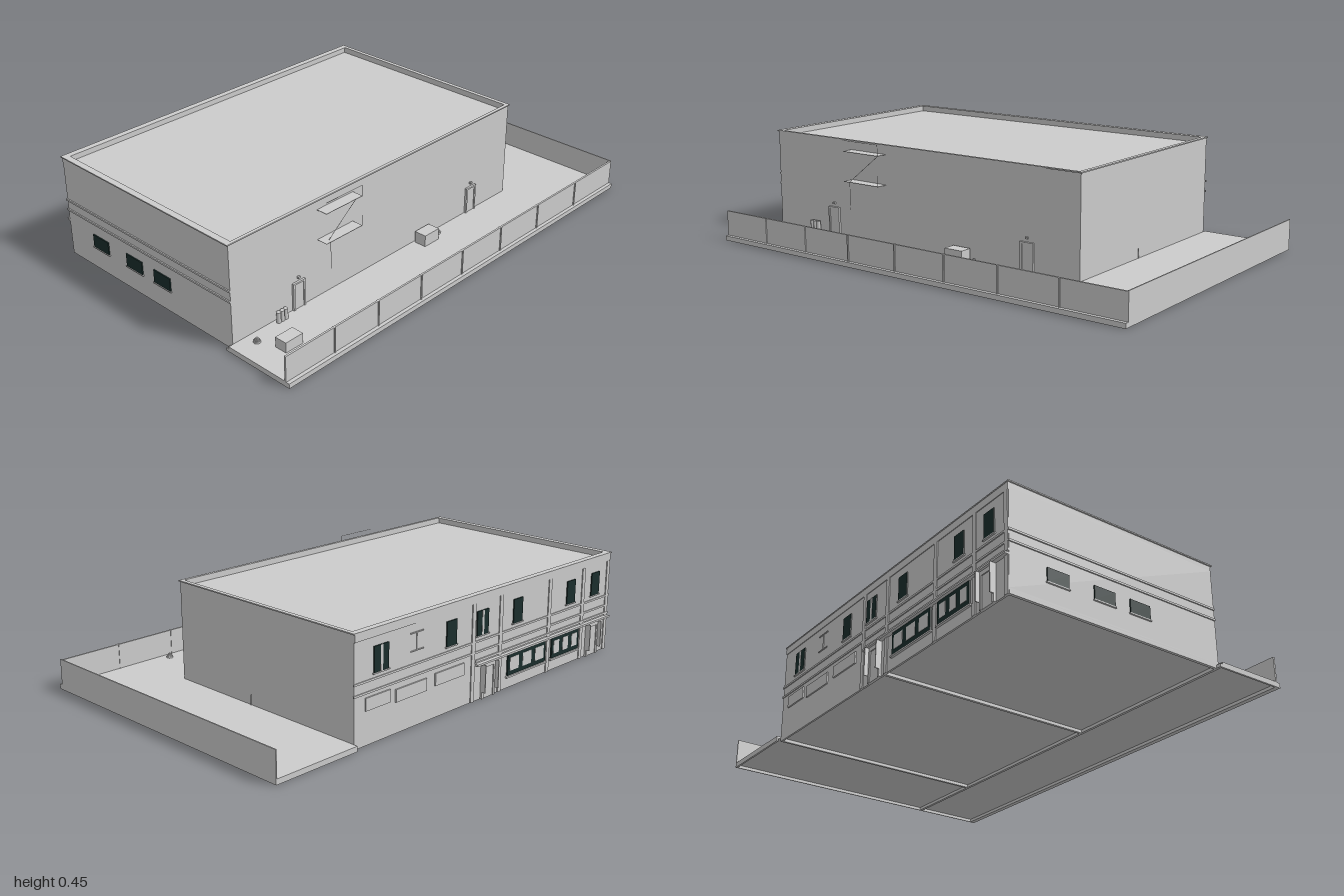
import * as THREE from 'three';

export function createModel() {
  const model = new THREE.Group();
  model.name = 'building';
  const mat = (name, color) => {
    const m = new THREE.MeshStandardMaterial({ color });
    m.name = name;
    return m;
  };
  const grey = mat('plaster grey', 0xcccccc);
  const dark = mat('dark glass', 0x1a2e2c);

  // Box given by its extents on each axis
  function box(name, x0, x1, y0, y1, z0, z1, material = grey, parent = model) {
    const m = new THREE.Mesh(new THREE.BoxGeometry(x1 - x0, y1 - y0, z1 - z0), material);
    m.position.set((x0 + x1) / 2, (y0 + y1) / 2, (z0 + z1) / 2);
    m.name = name;
    parent.add(m);
  }
  // Thin round bar between two points
  function bar(name, a, b, r = 0.0015, parent = model) {
    const curve = new THREE.LineCurve3(new THREE.Vector3(...a), new THREE.Vector3(...b));
    const m = new THREE.Mesh(new THREE.TubeGeometry(curve, 1, r, 5), grey);
    m.name = name;
    parent.add(m);
  }
  // Flat ring between an outer and an inner rectangle [x0, x1, z0, z1]
  function ring(name, outer, inner, y0, y1) {
    const rect = (C, [a, b, c, d]) => {
      const p = new C();
      p.moveTo(a, -c); p.lineTo(a, -d); p.lineTo(b, -d); p.lineTo(b, -c); p.closePath();
      return p;
    };
    const s = rect(THREE.Shape, outer);
    s.holes.push(rect(THREE.Path, inner));
    const g = new THREE.ExtrudeGeometry(s, { depth: y1 - y0, bevelEnabled: false });
    g.rotateX(-Math.PI / 2);
    const m = new THREE.Mesh(g, grey);
    m.position.y = y0;
    m.name = name;
    model.add(m);
  }

  // Main block, parapet and coping
  const L = -0.98, R = 0.61, B = -0.628, F = 0.343, G = 0.022;
  box('mainBlock', L, R, G, 0.415, B, F);
  ring('parapet', [L, R, B, F], [-0.963, 0.597, -0.61, 0.333], 0.415, 0.435);
  ring('coping', [L - 0.006, R + 0.005, B - 0.005, F + 0.004], [-0.959, 0.597, -0.606, 0.333], 0.435, 0.44);

  // Floor raised on footings that reach the ground
  box('frontYard', -1, 1, 0.013, G, F, 0.64);
  box('sideYard', R, 1, 0.013, G, -0.645, F);
  box('buildingFloor', L, R, 0.013, G, B, F);
  box('frontFooting', -1, 1, 0, 0.013, F - 0.012, F);
  box('backFooting', L, R, 0, 0.013, B, B + 0.008);
  box('sideYardFooting', R, 1, 0, 0.013, -0.645, -0.637);
  for (const x of [L, -0.212, R - 0.012])
    box('crossFooting', x, x + 0.012, 0, 0.013, B + 0.008, F - 0.012);
  box('yardEndFooting', -1, -0.992, 0, 0.013, F, 0.632);

  // Front fence with joints, curb and side wall
  box('frontFence', -1, 1, 0, 0.127, 0.632, 0.64);
  for (const x of [-0.76, -0.53, -0.29, -0.045, 0.2, 0.45, 0.72])
    box('fenceJoint', x - 0.003, x + 0.003, 0.02, 0.127, 0.63, 0.644);
  box('curb', -1, 1, 0, 0.02, 0.64, 0.655);
  box('sideWall', 0.995, 1, 0, 0.13, -0.645, 0.64);

  // Yard doors with lamps
  for (const x of [-0.65, 0.37]) {
    box('yardDoor', x - 0.023, x + 0.023, G, 0.132, F, F + 0.005);
    for (const s of [-1, 1])
      box('yardDoorJamb', x + s * 0.027 - 0.004, x + s * 0.027 + 0.004, G, 0.132, F, F + 0.009);
    box('yardDoorHead', x - 0.031, x + 0.031, 0.132, 0.139, F, F + 0.009);
    box('yardLamp', x - 0.005, x + 0.005, 0.152, 0.16, F, F + 0.009);
  }

  // Yard boxes, tanks, pots and drain
  box('frontCabinet', 0.01, 0.095, G, 0.072, 0.35, 0.405);
  box('cornerCabinet', -0.885, -0.8, G, 0.065, 0.465, 0.52);
  box('sideCabinet', 0.93, 0.975, G, 0.074, -0.24, -0.205);
  function can(name, x, z, r, h) {
    const m = new THREE.Mesh(new THREE.CylinderGeometry(r, r, h, 16), grey);
    m.position.set(x, G + h / 2, z);
    m.name = name;
    model.add(m);
  }
  for (let i = 0; i < 3; i++) can('tank', -0.77 + i * 0.018, 0.362, 0.009, 0.045);
  for (const [x, z] of [[-0.91, 0.395], [0.13, 0.37], [-0.26, 0.6], [0.49, 0.595]])
    for (let i = 0; i < 5; i++) can('potRim', x, z, 0.014 - i * 0.0025, 0.008 + i * 0.003);
  can('drain', 0.18, 0.55, 0.007, 0.003);
  bar('sidePipe', [R + 0.003, G, -0.075], [R + 0.003, 0.065, -0.075], 0.002);

  // Fire escape: two landings with rails, stair and drop ladder
  const escape = new THREE.Group();
  escape.name = 'fireEscape';
  model.add(escape);
  const x0 = -0.545, x1 = -0.353, zf = 0.392;
  for (const y of [0.27, 0.398]) {
    box('landing', x0, x1, y - 0.001, y + 0.001, F, zf, grey, escape);
    bar('railPost', [x1, y, zf], [x1, y + 0.047, zf], 0.001, escape);
  }
  bar('topRail', [x0, 0.445, zf], [x1, 0.445, zf], 0.001, escape);
  bar('stair', [-0.52, 0.272, 0.378], [-0.36, 0.398, 0.378], 0.001, escape);
  bar('dropLadder', [-0.517, 0.15, 0.386], [-0.517, 0.27, 0.386], 0.001, escape);

  // String courses along the back and left side
  for (const y of [0.203, 0.247]) {
    box('backCourse', L - 0.005, R + 0.005, y - 0.004, y + 0.004, B - 0.004, B);
    box('sideCourse', L - 0.005, L, y - 0.004, y + 0.004, B, F);
  }
  box('backFrieze', L, R, 0.405, 0.435, B - 0.003, B);

  // Street pilasters, course and shop fascia
  for (const x of [-0.968, -0.785, -0.545, -0.22, -0.05])
    box('pilaster', x - 0.01, x + 0.01, 0, 0.405, B - 0.004, B);
  box('shopCourse', L, -0.065, 0.163, 0.172, B - 0.006, B);
  box('shopFascia', L, -0.065, 0.148, 0.156, B - 0.017, B);

  // Upper back windows; the wide ones have a centre post
  for (const [x, w] of [[0.473, 0.076], [0.084, 0.058], [-0.103, 0.07], [-0.328, 0.058],
    [-0.694, 0.058], [-0.873, 0.058]]) {
    const a = x - w / 2, b = x + w / 2;
    box('upperWindow', a, b, 0.27, 0.37, B - 0.005, B, dark);
    if (w > 0.06) box('windowPost', x - 0.006, x + 0.006, 0.27, 0.37, B - 0.006, B);
    box('windowSill', a - 0.006, b + 0.006, 0.265, 0.27, B - 0.007, B);
  }

  // Blank panels and wall bracket
  for (const [x, w, y] of [[0.49, 0.13, 0.135], [0.31, 0.17, 0.125], [0.09, 0.17, 0.13]])
    box('blankPanel', x - w / 2, x + w / 2, y, y + 0.05, B - 0.006, B);
  for (const y of [0.3, 0.37]) box('bracketBar', 0.245, 0.315, y - 0.002, y + 0.002, B - 0.004, B);
  box('bracketStem', 0.278, 0.282, 0.3, 0.37, B - 0.003, B);

  // Shop windows: dark surround with three pale panes
  for (const [a, b] of [[-0.523, -0.27], [-0.762, -0.568]]) {
    box('shopWindow', a, b, 0.055, 0.146, B - 0.007, B, dark);
    const w = (b - a) / 3;
    for (let i = 0; i < 3; i++)
      box('shopPane', a + i * w + 0.013, a + (i + 1) * w - 0.013, 0.073, 0.13, B - 0.008, B);
    box('shopSill', a - 0.008, b + 0.008, 0.046, 0.053, B - 0.01, B);
  }

  // Street doors with slim outer posts
  for (const x of [-0.145, -0.865]) {
    box('streetDoor', x - 0.03, x + 0.03, 0, 0.13, B - 0.005, B);
    for (const s of [-1, 1]) {
      box('streetDoorJamb', x + s * 0.036 - 0.006, x + s * 0.036 + 0.006, 0, 0.138, B - 0.009, B);
      box('streetDoorPost', x + s * 0.041 - 0.002, x + s * 0.041 + 0.002, 0.03, 0.147, B - 0.026, B - 0.009);
    }
    box('streetDoorHead', x - 0.042, x + 0.042, 0.13, 0.147, B - 0.009, B);
  }

  // Left side windows
  for (const z of [-0.42, -0.21, -0.043]) {
    box('sideWindow', L - 0.005, L, 0.097, 0.152, z - 0.048, z + 0.048, dark);
    box('sideWindowSill', L - 0.007, L, 0.092, 0.097, z - 0.052, z + 0.052);
  }
  return model;
}
